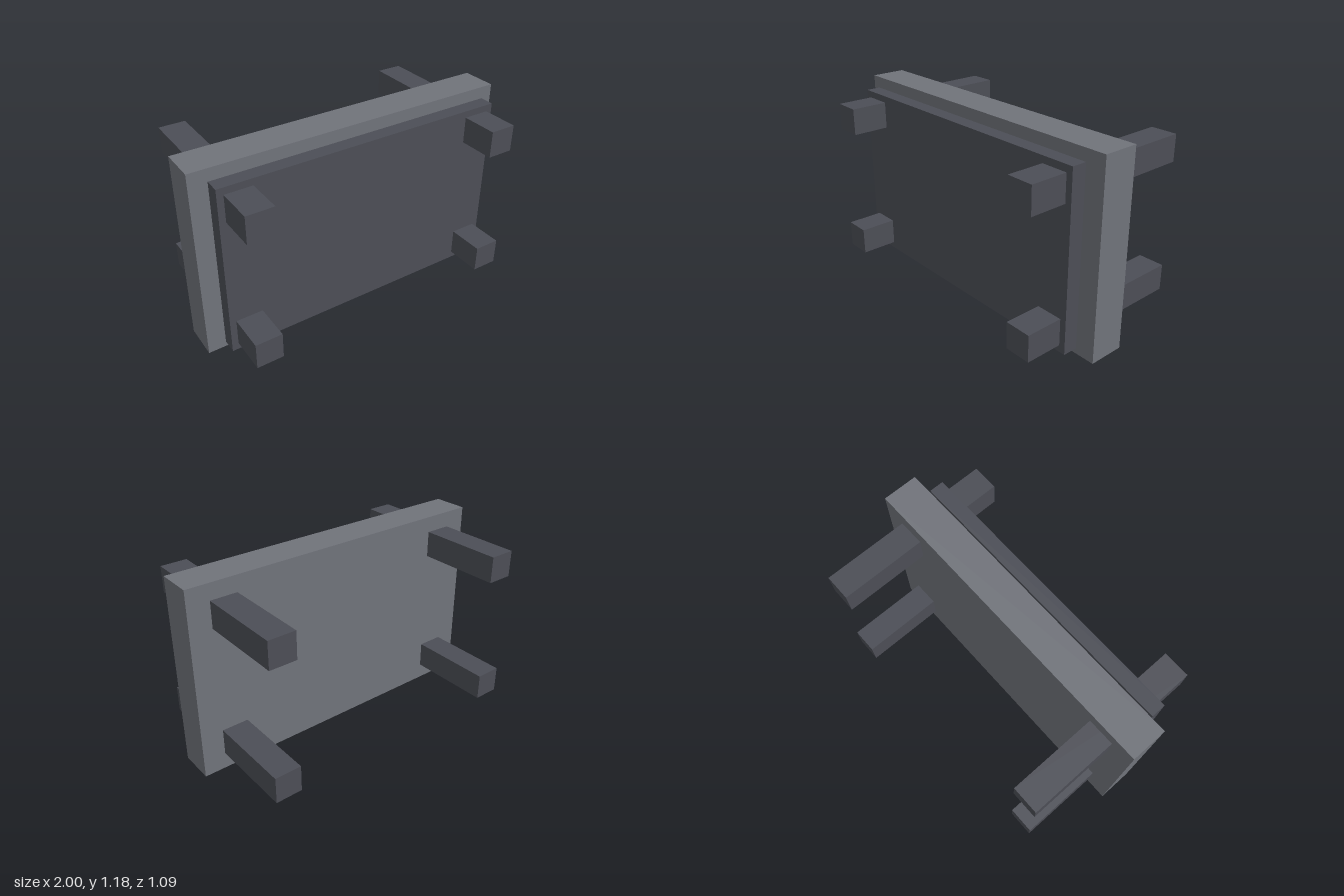
import * as THREE from 'three';

const slate = new THREE.MeshStandardMaterial({ color: 0x70737a });
const charcoal = new THREE.MeshStandardMaterial({ color: 0x4c4e56 });

function addBox(parent, name, size, position, material) {
  const mesh = new THREE.Mesh(new THREE.BoxGeometry(...size), material);
  mesh.name = name;
  mesh.position.set(...position);
  parent.add(mesh);
}

export function createModel() {
  const group = new THREE.Group();
  group.name = 'upturnedTable';

  // Thick upright slab
  addBox(group, 'slab', [2, 1.182, 0.218], [0, 0.591, 0.092], slate);

  // Thinner panel standing just in front of it
  addBox(group, 'frontPanel', [1.804, 1.064, 0.09], [0, 0.592, 0.274], charcoal);

  // Four square bars running through both boards
  for (const [side, x] of [['Left', 0.782], ['Right', -0.782]]) {
    for (const [level, y] of [['lower', 0.183], ['upper', 1.001]]) {
      addBox(group, `${level}${side}Bar`, [0.163, 0.163, 1.092], [x, y, 0], charcoal);
    }
  }

  return group;
}
